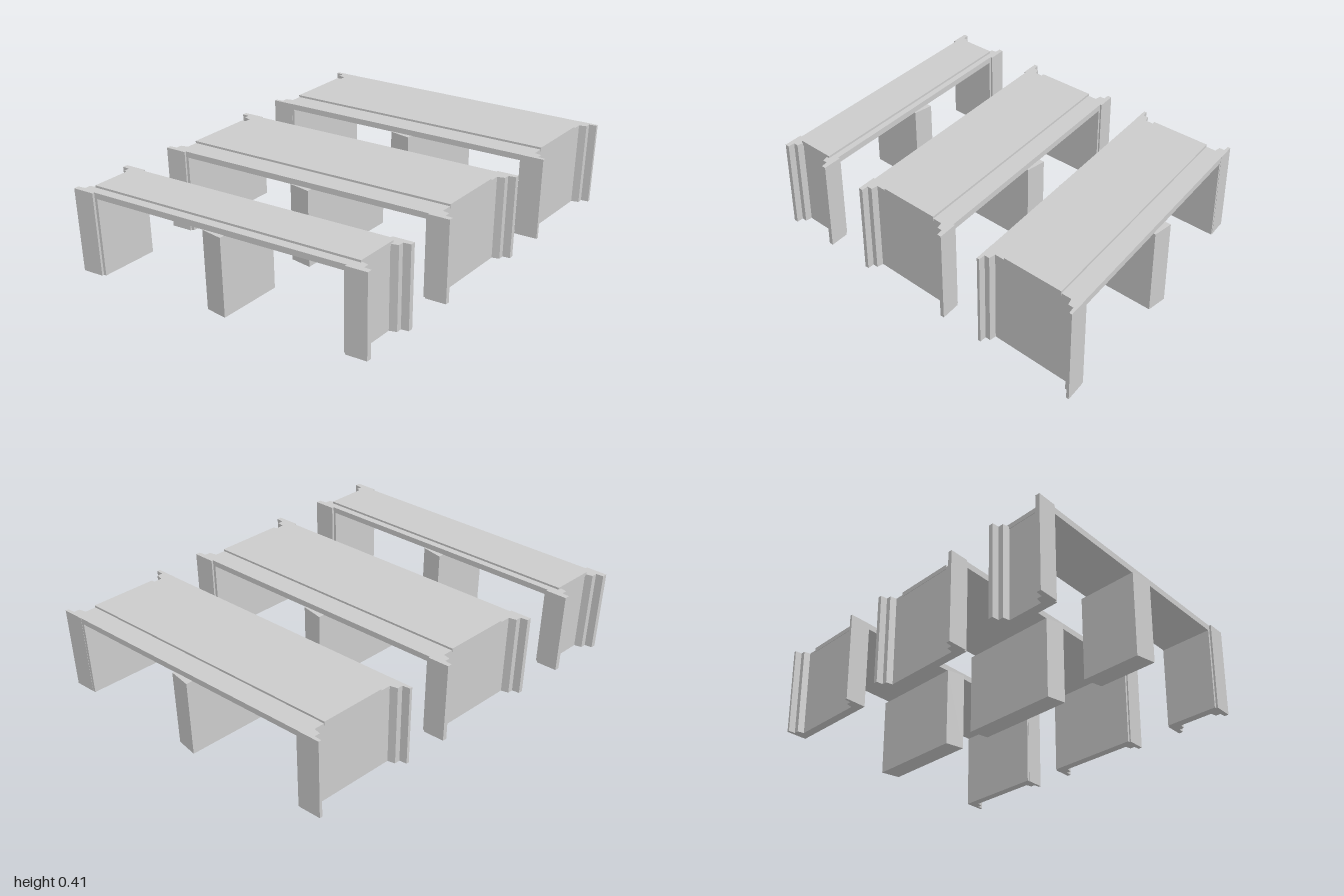
import * as THREE from 'three';

const SKEW = -0.205;      // z shift per unit of x
const DECK_LOW = 0.377, DECK_TOP = 0.405, SLAB_TOP = 0.415;
const material = new THREE.MeshStandardMaterial({ color: 0xcccccc, flatShading: true });

// Vertical prism from plan points [x, z], sheared along the skew
function prism(name, points, y0, y1, skew = SKEW) {
  const shape = new THREE.Shape(points.map(([x, z]) => new THREE.Vector2(x, -(z + skew * x))));
  const geometry = new THREE.ExtrudeGeometry(shape, { depth: y1 - y0, bevelEnabled: false });
  geometry.rotateX(-Math.PI / 2).translate(0, y0, 0);
  const mesh = new THREE.Mesh(geometry, material);
  mesh.name = name;
  return mesh;
}

const rect = (x, z0, z1) => [[-x, z0], [x, z0], [x, z1], [-x, z1]];

// End wall with stepped wings at both faces
function abutment(side, back, front, proud) {
  const wing = (edge, s) => [
    [0.59, edge], [0.59, edge - s * proud], [0.685, edge - s * proud],
    [0.685, edge + s * 0.012], [0.652, edge + s * 0.015],
    [0.652, edge + s * 0.04], [0.62, edge + s * 0.047],
  ];
  const points = [
    [0.578, back], ...wing(back, 1),
    ...wing(front, -1).reverse(), [0.578, front],
  ];
  return prism(side > 0 ? 'leftAbutment' : 'rightAbutment',
    points.map(([x, z]) => [side * x, z]), 0, DECK_TOP);
}

function bridge({ name, back, front, slab, pier, proud }) {
  const group = new THREE.Group();
  group.name = name;
  group.add(
    prism('deck', rect(0.6, back, front), DECK_LOW, DECK_TOP),
    prism('roadSlab', rect(0.622, slab[0], slab[1]), DECK_TOP - 0.01, SLAB_TOP),
    // The middle pier stays square to the axes
    prism('centrePier', rect(0.05, pier[0], pier[1]), 0, DECK_LOW + 0.001, 0),
    abutment(1, back, front, proud),
    abutment(-1, back, front, proud),
  );
  return group;
}

export function createModel() {
  const model = new THREE.Group();
  model.name = 'bridgeSpans';
  const spans = [
    { name: 'backSpan', back: -0.86, front: -0.375, slab: [-0.765, -0.47], pier: [-0.88, -0.36], proud: 0.001 },
    { name: 'middleSpan', back: -0.163, front: 0.327, slab: [-0.07, 0.23], pier: [-0.18, 0.34], proud: 0.008 },
    { name: 'frontSpan', back: 0.577, front: 0.843, slab: [0.607, 0.803], pier: [0.56, 0.857], proud: 0.01 },
  ];
  for (const span of spans) model.add(bridge(span));
  return model;
}
